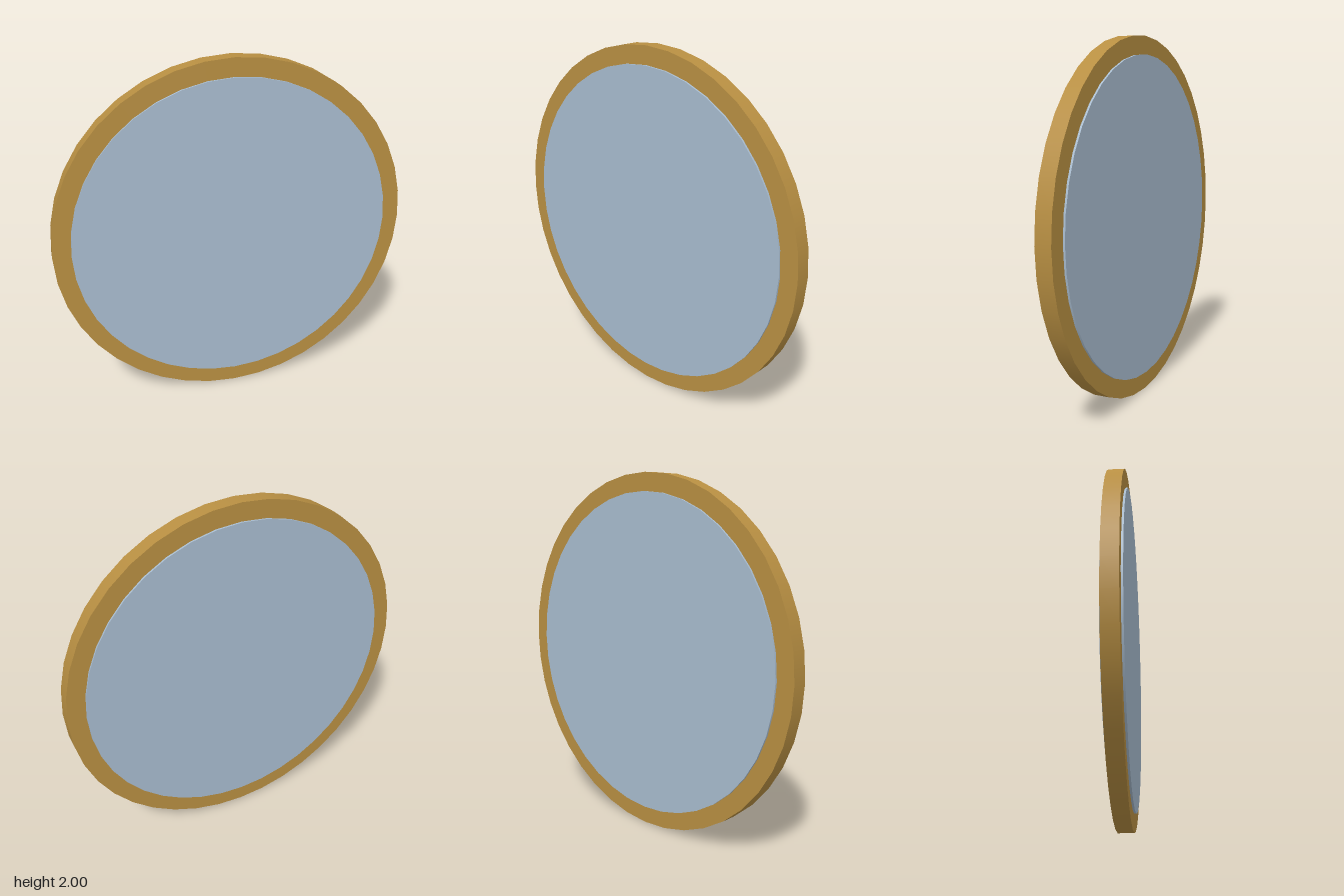
import * as THREE from 'three';

// Disc standing upright, its flat faces towards +z and -z
function disc(name, radius, depth, color) {
  const geometry = new THREE.CylinderGeometry(radius, radius, depth, 40);
  geometry.rotateX(Math.PI / 2);
  const mesh = new THREE.Mesh(geometry, new THREE.MeshStandardMaterial({ color }));
  mesh.name = name;
  mesh.position.y = 1;
  return mesh;
}

export function createModel() {
  const model = new THREE.Group();
  model.name = 'roundWindow';
  // Golden rim, with a slightly thicker pane standing proud on both sides
  model.add(disc('frame', 1, 0.088, 0xb88f42));
  model.add(disc('pane', 0.9, 0.11, 0xa8bccf));
  return model;
}
